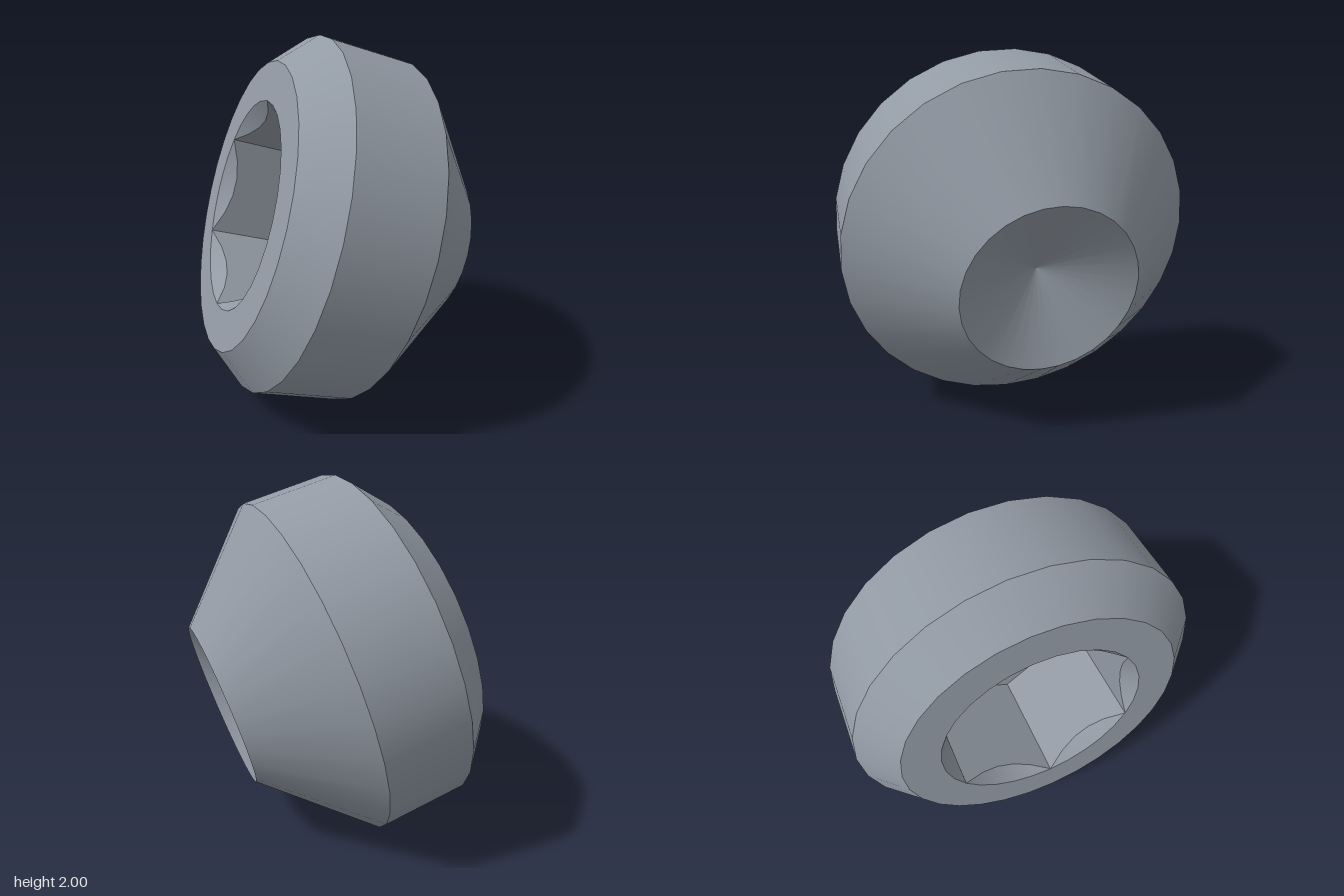
import * as THREE from 'three';

const SEGMENTS = 30;
const FACE_Y = -0.425, SOCKET_R = 0.572, SOCKET_DEPTH = 0.67;

// ring of points around the local y axis; fn(angle) returns [radius, y]
function ring(fn) {
  return Array.from({ length: SEGMENTS + 1 }, (_, i) => {
    const t = (i / SEGMENTS) * Math.PI * 2;
    const [r, y] = fn(t);
    return [r * Math.sin(t), y, r * Math.cos(t)];
  });
}

// surface strip between two rings
function strip(a, b, smooth) {
  const geo = new THREE.BufferGeometry();
  geo.setAttribute('position', new THREE.Float32BufferAttribute([...a, ...b].flat(), 3));
  const index = [], n = a.length;
  for (let i = 0; i < SEGMENTS; i++) index.push(i, i + 1, n + i, i + 1, n + i + 1, n + i);
  geo.setIndex(index);
  const out = smooth ? geo : geo.toNonIndexed();
  out.computeVertexNormals();
  return out;
}

export function createModel() {
  const steel = new THREE.MeshStandardMaterial({ color: 0x929aa4 });
  steel.name = 'steel grey';
  const screw = new THREE.Group();
  screw.name = 'setScrew';
  const add = (name, geo) => {
    const mesh = new THREE.Mesh(geo, steel);
    mesh.name = name;
    screw.add(mesh);
  };

  // turned body: each band is its own lathe so edges between bands stay sharp
  const profile = [
    [SOCKET_R, FACE_Y], [0.785, FACE_Y], [0.973, -0.235],
    [0.973, 0.235], [0.462, 0.745], [0, 0.495],
  ].map(([r, y]) => new THREE.Vector2(r, y));
  ['endFace', 'endChamfer', 'barrel', 'pointCone', 'cupPoint'].forEach((name, i) => {
    add(name, new THREE.LatheGeometry([profile[i], profile[i + 1]], SEGMENTS));
  });

  // hexagonal socket with a 45 degree countersink that meets the corners
  const hexRadius = (t) => {
    const side = Math.PI / 3;
    const local = t - Math.floor(t / side + 1e-9) * side - side / 2;
    return SOCKET_R * Math.cos(side / 2) / Math.cos(local);
  };
  const floorY = FACE_Y + SOCKET_DEPTH;
  const centre = ring(() => [0, floorY]);
  const floorRim = ring((t) => [hexRadius(t), floorY]);
  const wallTop = ring((t) => [hexRadius(t), FACE_Y + SOCKET_R - hexRadius(t)]);
  const mouth = ring(() => [SOCKET_R, FACE_Y]);
  add('socketFloor', strip(centre, floorRim, false));
  add('socketWalls', strip(floorRim, wallTop, false));
  add('socketCountersink', strip(wallTop, mouth, true));

  // tilt: local y runs along the screw axis, local z towards a socket corner
  const axis = new THREE.Vector3(0.938, -0.281, 0.202).normalize();
  const corner = new THREE.Vector3(-0.16, -0.552, -0.025);
  corner.addScaledVector(axis, -corner.dot(axis)).normalize();
  const side = new THREE.Vector3().crossVectors(axis, corner);
  screw.quaternion.setFromRotationMatrix(new THREE.Matrix4().makeBasis(side, axis, corner));
  screw.position.set(-0.095, 1.005, 0);

  const model = new THREE.Group();
  model.name = 'model';
  model.add(screw);
  return model;
}
